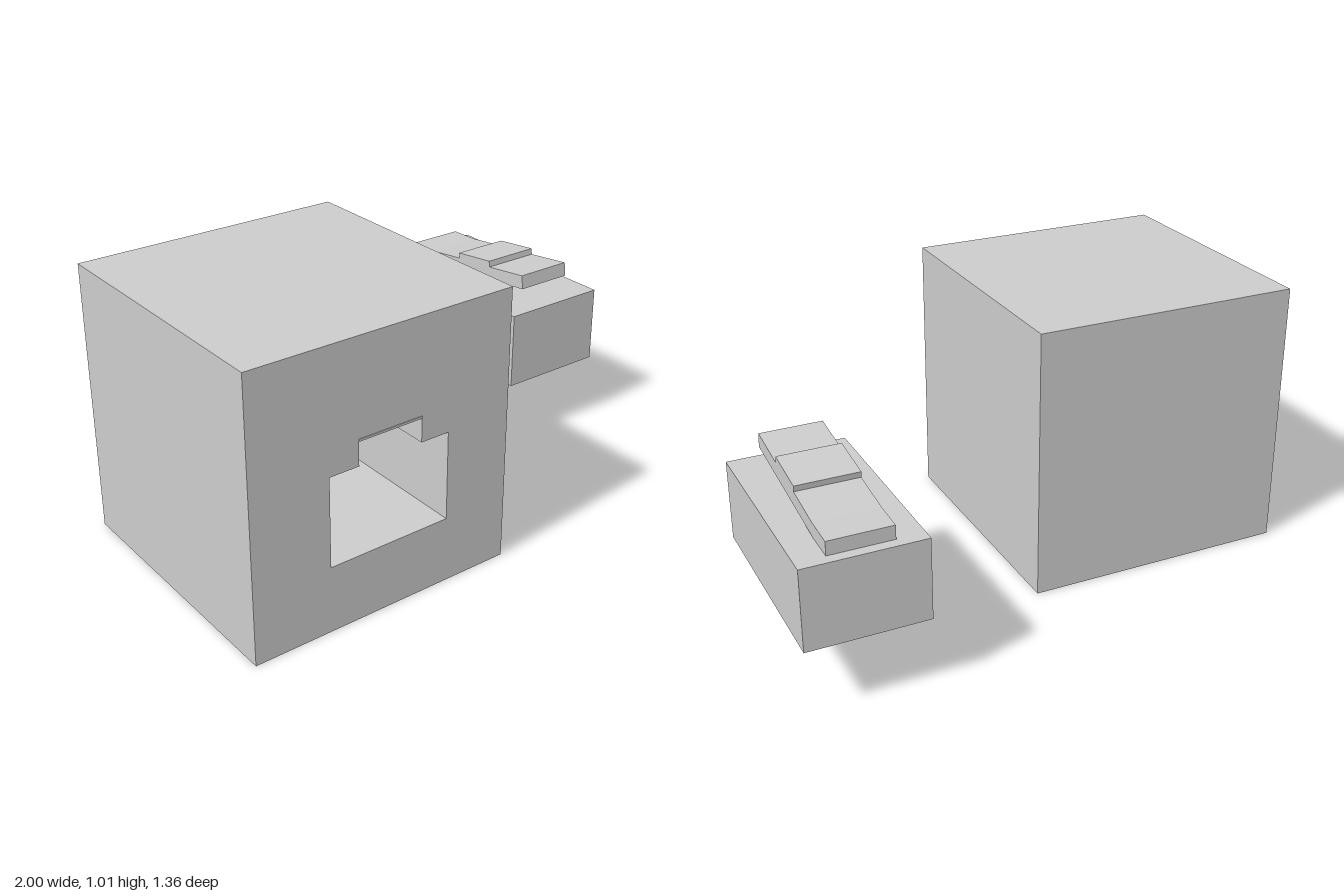
import * as THREE from 'three';

const material = new THREE.MeshStandardMaterial({ color: 0xcccccc, flatShading: true });

function addMesh(parent, name, geometry, x = 0, y = 0, z = 0) {
  const mesh = new THREE.Mesh(geometry, material);
  mesh.name = name;
  mesh.position.set(x, y, z);
  parent.add(mesh);
  return mesh;
}

// Box given by its minimum and maximum corners
function addBox(parent, name, [x0, y0, z0], [x1, y1, z1]) {
  return addMesh(parent, name, new THREE.BoxGeometry(x1 - x0, y1 - y0, z1 - z0),
    (x0 + x1) / 2, (y0 + y1) / 2, (z0 + z1) / 2);
}

const points = (list) => list.map(([a, b]) => new THREE.Vector2(a, b));

function createSocket() {
  const socket = new THREE.Group();
  socket.name = 'socket';
  const back = -0.337, front = 0.678, depth = 0.8;
  const left = -1, right = 0.012, top = 1.015;

  // Walls around the keyed opening
  const outline = new THREE.Shape(points([[left, 0], [right, 0], [right, top], [left, top]]));
  outline.holes.push(new THREE.Path(points([
    [-0.71, 0.245], [-0.71, 0.572], [-0.598, 0.572], [-0.598, 0.663],
    [-0.352, 0.663], [-0.352, 0.572], [-0.242, 0.572], [-0.242, 0.245],
  ])));
  addMesh(socket, 'socketHousing',
    new THREE.ExtrudeGeometry(outline, { depth, bevelEnabled: false }), 0, 0, front - depth);

  // Solid rear closing the cavity
  addBox(socket, 'socketBack', [left, 0, back], [right, top, front - depth]);

  // Thin lip over the latch notch
  addBox(socket, 'notchLip', [-0.598, 0.66, 0.67], [-0.352, 0.668, 0.681]);
  return socket;
}

function createPlug() {
  const plug = new THREE.Group();
  plug.name = 'plug';
  addBox(plug, 'plugBody', [0.566, 0.256, -0.68], [1, 0.555, 0.105]);

  // Stepped latch: side profile in (z, y), extruded across the width
  const profile = new THREE.Shape(points([
    [-0.64, 0.555], [-0.52, 0.555], [0.038, 0.621], [0.031, 0.675],
    [-0.158, 0.651], [-0.161, 0.675], [-0.345, 0.653], [-0.342, 0.631],
    [-0.52, 0.609], [-0.64, 0.606],
  ]));
  const geometry = new THREE.ExtrudeGeometry(profile, { depth: 0.23, bevelEnabled: false });
  geometry.rotateY(-Math.PI / 2);
  addMesh(plug, 'latch', geometry, 0.897);
  return plug;
}

export function createModel() {
  const model = new THREE.Group();
  model.name = 'plugAndSocket';
  model.add(createSocket(), createPlug());
  return model;
}
